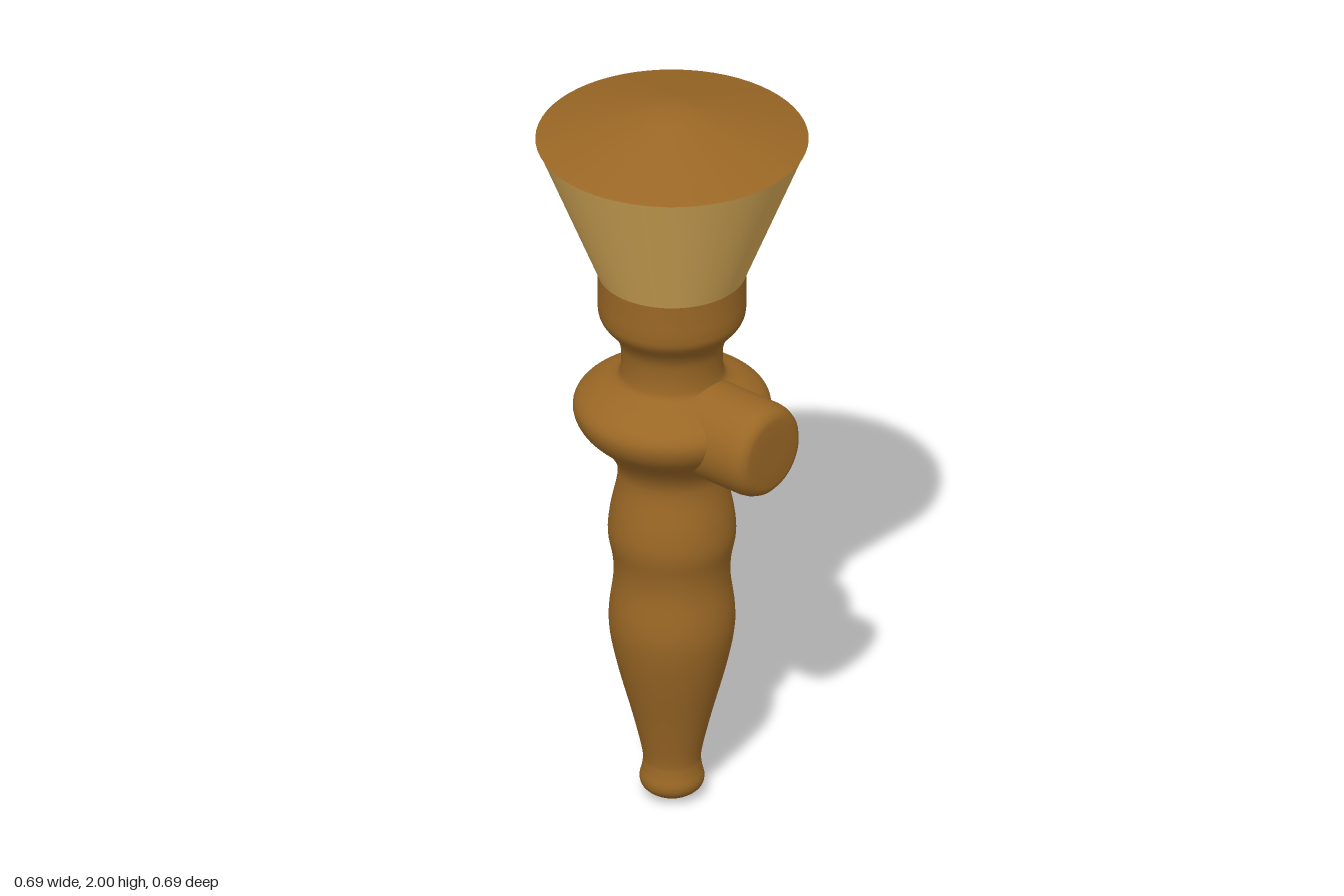
import * as THREE from 'three';

const wood = new THREE.MeshStandardMaterial({ color: 0x9a6725 });
wood.name = 'brown wood';
const paleWood = new THREE.MeshStandardMaterial({ color: 0xd8ab58 });
paleWood.name = 'pale wood';

const toPoints = (list) => list.map(([r, y]) => new THREE.Vector2(r, y));

// Turned part: profile is a list of [radius, height], from bottom to top
function turned(name, points, material) {
  const mesh = new THREE.Mesh(new THREE.LatheGeometry(points, 64), material);
  mesh.name = name;
  return mesh;
}

// Smooths a profile through its points, never crossing the axis
function smooth(list, divisions) {
  const points = new THREE.SplineCurve(toPoints(list)).getPoints(divisions);
  points.forEach((p) => { p.x = Math.max(p.x, 0); });
  return points;
}

export function createModel() {
  const group = new THREE.Group();
  group.name = 'torch';

  // Handle with grip bulges, guard ring, neck and collar
  group.add(turned('handle', smooth([
    [0, 0], [0.04, 0.008], [0.073, 0.03], [0.082, 0.055], [0.075, 0.09],
    [0.075, 0.13], [0.1, 0.24], [0.137, 0.38], [0.157, 0.48], [0.159, 0.55],
    [0.148, 0.64], [0.15, 0.7], [0.162, 0.77], [0.156, 0.84], [0.138, 0.93],
    [0.143, 0.98], [0.175, 1.03], [0.23, 1.085], [0.25, 1.13], [0.24, 1.165],
    [0.2, 1.195], [0.145, 1.22], [0.13, 1.25], [0.13, 1.31], [0.145, 1.35],
    [0.18, 1.395], [0.188, 1.43], [0.188, 1.48], [0.188, 1.53],
  ], 140), wood));

  // Flared bowl
  group.add(turned('bowl', toPoints([[0.188, 1.525], [0.343, 1.913]]), paleWood));

  // Shallow domed lid
  group.add(turned('lid', toPoints([
    [0.345, 1.912], [0.2, 1.956], [0.07, 1.993], [0.035, 1.999], [0, 2],
  ]), wood));

  // Round knob on the front of the guard ring
  const knob = turned('knob', toPoints([
    [0.125, 0], [0.125, 0.2], [0.125, 0.285], [0.122, 0.305], [0.115, 0.321],
    [0.104, 0.331], [0.09, 0.335], [0.045, 0.336], [0, 0.336],
  ]), wood);
  knob.rotation.x = Math.PI / 2;
  knob.position.y = 1.115;
  group.add(knob);

  return group;
}
